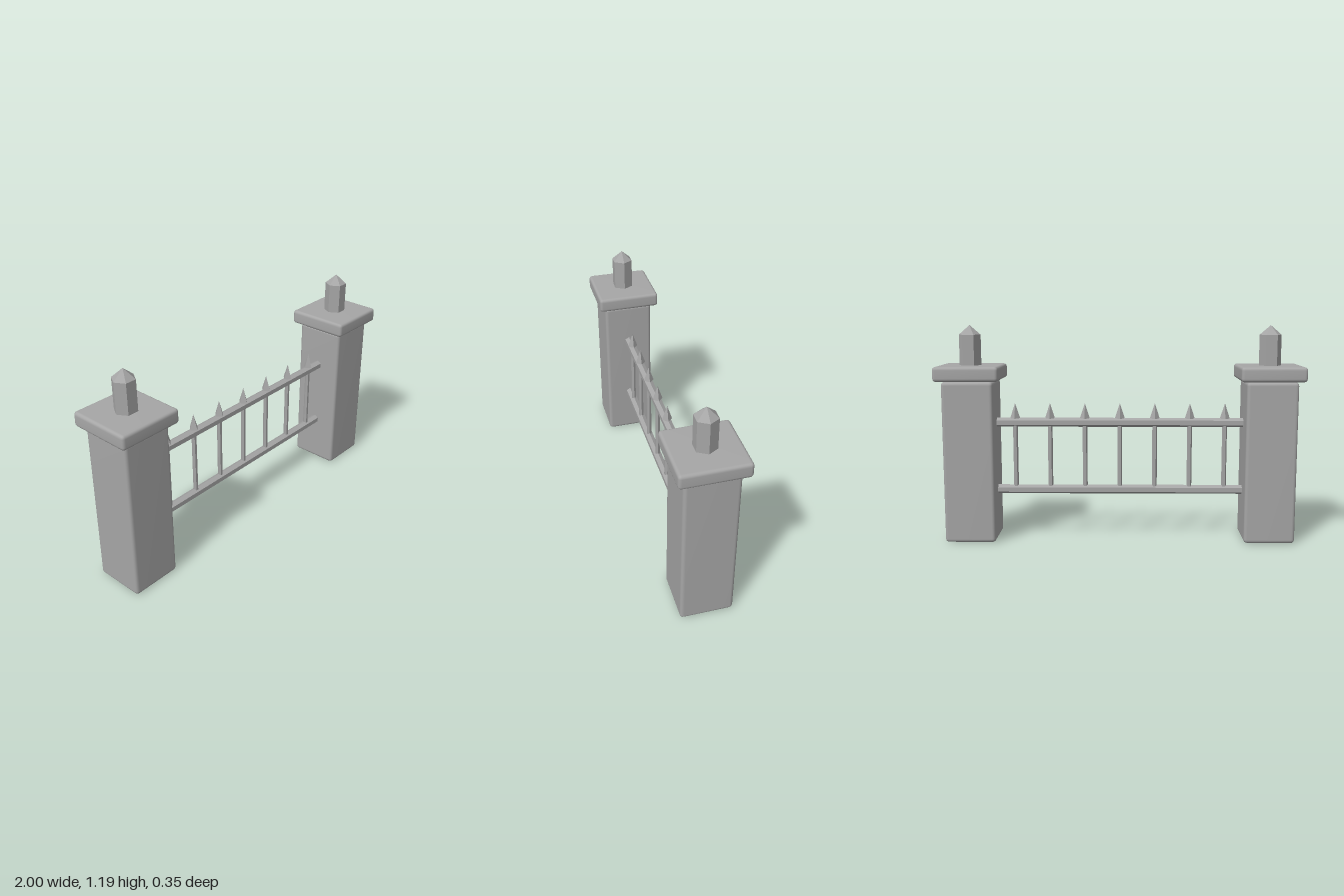
import * as THREE from 'three';
import { mergeVertices } from 'three/addons/utils/BufferGeometryUtils.js';
import { RoundedBoxGeometry } from 'three/addons/geometries/RoundedBoxGeometry.js';

const stone = new THREE.MeshStandardMaterial({ color: 0xa6a6a6 });
stone.name = 'grey stone';

// Softly bevelled block with normals blended over its edges
function block(w, h, d, bevel) {
  const g = new RoundedBoxGeometry(w, h, d, 2, bevel);
  g.deleteAttribute('uv');
  g.deleteAttribute('normal');
  const merged = mergeVertices(g, 1e-4);
  merged.computeVertexNormals();
  return merged;
}

// Faceted prism, cone or frustum along y
function faceted(rTop, rBottom, h, sides, turn = 0) {
  const g = new THREE.CylinderGeometry(rTop, rBottom, h, sides).rotateY(turn).toNonIndexed();
  g.computeVertexNormals();
  return g;
}

function add(parent, name, geometry, x, y) {
  const mesh = new THREE.Mesh(geometry, stone);
  mesh.name = name;
  mesh.position.set(x, y, 0);
  parent.add(mesh);
  return mesh;
}

export function createModel() {
  const model = new THREE.Group();
  model.name = 'fence';

  // Pillars with cap and pointed six-sided finial
  const pillarGeo = block(0.28, 0.89, 0.28, 0.02);
  const capGeo = block(0.352, 0.08, 0.352, 0.018);
  const finialGeo = faceted(0.06, 0.06, 0.18, 6, Math.PI / 6);
  const tipGeo = faceted(0, 0.06, 0.052, 6, Math.PI / 6);
  for (const side of [-1, 1]) {
    const post = new THREE.Group();
    post.name = side > 0 ? 'leftPost' : 'rightPost';
    post.position.x = side * 0.824;
    add(post, 'pillar', pillarGeo, 0, 0.445);
    add(post, 'cap', capGeo, 0, 0.933);
    add(post, 'finial', finialGeo, 0, 1.05);
    add(post, 'finialTip', tipGeo, 0, 1.166);
    model.add(post);
  }

  // Six-sided rails, ridge upward
  const railGeo = faceted(0.0255, 0.0255, 1.4, 6, Math.PI / 6).rotateZ(Math.PI / 2);
  add(model, 'lowerRail', railGeo, 0, 0.275);
  add(model, 'upperRail', railGeo, 0, 0.655);

  // Upright bars with spikes
  const barGeo = faceted(0.0135, 0.0135, 0.38, 6, Math.PI / 6);
  const spikeGeo = faceted(0, 0.028, 0.085, 4);
  for (let i = -3; i <= 3; i++) {
    add(model, 'bar', barGeo, i * 0.1943, 0.465);
    add(model, 'spike', spikeGeo, i * 0.1943, 0.7195);
  }
  return model;
}
